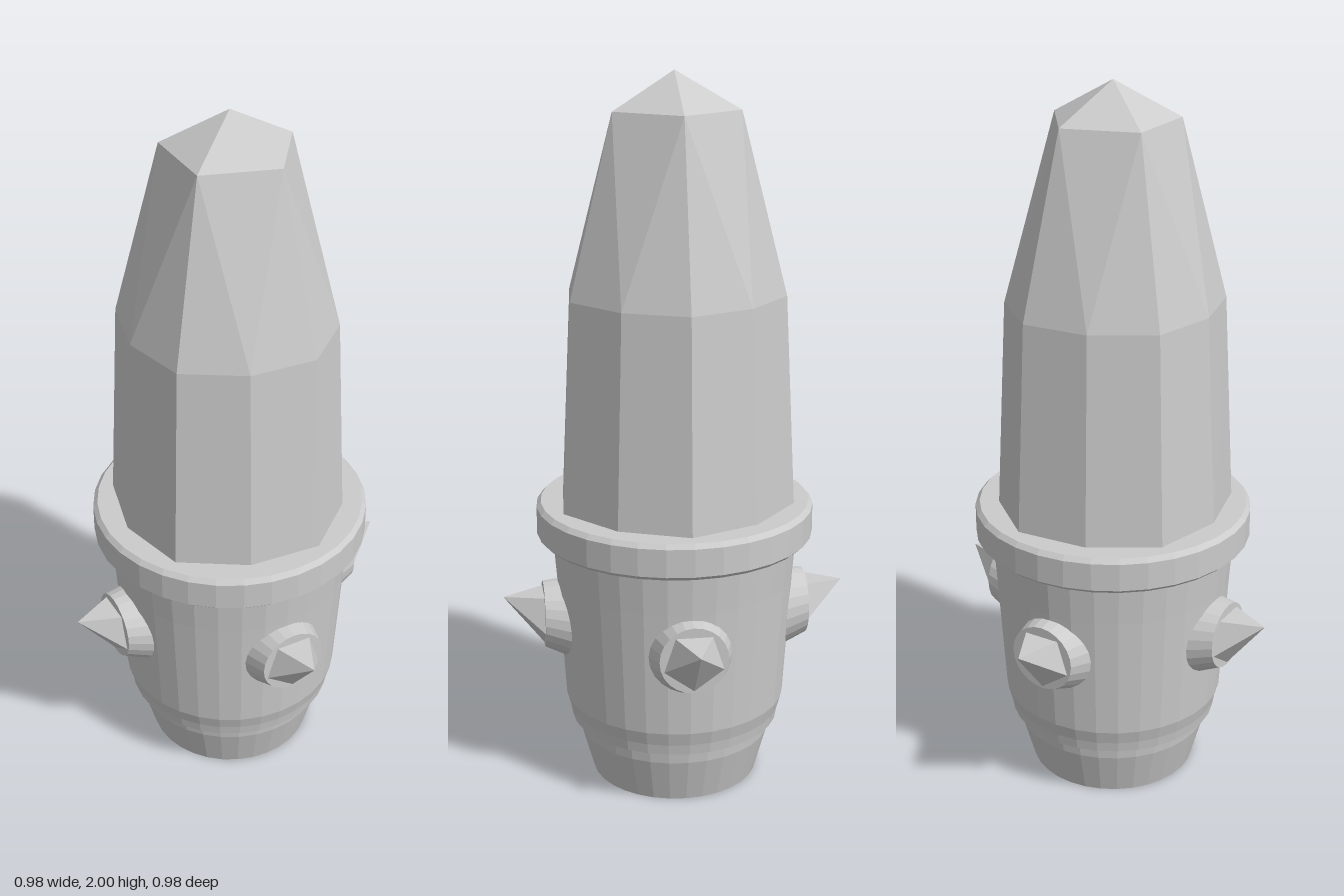
import * as THREE from 'three';

const material = new THREE.MeshStandardMaterial({ color: 0xcccccc, flatShading: true });

function addMesh(parent, name, geometry) {
  geometry.computeVertexNormals();
  const mesh = new THREE.Mesh(geometry, material);
  mesh.name = name;
  parent.add(mesh);
  return mesh;
}

function lathe(points, sides) {
  return new THREE.LatheGeometry(points.map(([r, y]) => new THREE.Vector2(r, y)), sides);
}

// Lift a z-aligned geometry upward in proportion to its distance past z0
function shearUp(geometry, z0, slope) {
  const p = geometry.attributes.position;
  for (let i = 0; i < p.count; i++) p.setY(i, p.getY(i) + (p.getZ(i) - z0) * slope);
  return geometry;
}

// Ten-sided crystal that narrows to a five-sided crown and a point
function crystalGeometry() {
  const ring = (n, y, even, odd) => Array.from({ length: n }, (_, i) => {
    const a = (i / n) * Math.PI * 2, r = i % 2 ? odd : even;
    return new THREE.Vector3(r * Math.cos(a), y, -r * Math.sin(a));
  });
  const base = ring(10, 0.81, 0.338, 0.322);
  const shoulder = ring(10, 1.41, 0.307, 0.292);
  const crown = ring(5, 1.9, 0.18, 0.18);
  const tip = new THREE.Vector3(0, 2, 0);
  const floor = new THREE.Vector3(0, 0.81, 0);
  const points = [];
  const tri = (...corners) => points.push(...corners);
  for (let i = 0; i < 10; i++) {
    const j = (i + 1) % 10;
    tri(base[i], base[j], shoulder[j], base[i], shoulder[j], shoulder[i]);
    tri(floor, base[j], base[i]);
  }
  for (let k = 0; k < 5; k++) {
    const n = (k + 1) % 5;
    const a = shoulder[2 * k], b = shoulder[2 * k + 1], c = shoulder[2 * n];
    tri(a, b, crown[k], b, crown[n], crown[k], b, c, crown[n], crown[k], crown[n], tip);
  }
  return new THREE.BufferGeometry().setFromPoints(points);
}

export function createModel() {
  const model = new THREE.Group();
  model.name = 'studdedCrystal';

  addMesh(model, 'foot', lathe([[0, 0], [0.237, 0], [0.273, 0.13], [0.278, 0.18], [0, 0.18]], 32));
  addMesh(model, 'cup', lathe(
    [[0, 0.17], [0.297, 0.17], [0.302, 0.2], [0.313, 0.24], [0.335, 0.6], [0.345, 0.73], [0, 0.73]], 32));
  addMesh(model, 'rim', lathe(
    [[0, 0.72], [0.375, 0.72], [0.388, 0.732], [0.388, 0.81], [0.376, 0.823], [0, 0.823]], 32));
  addMesh(model, 'crystal', crystalGeometry());

  // Four studs around the cup, each a tapered boss with an upswept spike
  for (let i = 0; i < 4; i++) {
    const stud = new THREE.Group();
    stud.name = 'stud' + (i + 1);
    const boss = new THREE.CylinderGeometry(0.094, 0.122, 0.095, 24)
      .rotateX(Math.PI / 2).translate(0, 0.488, 0.3275);
    addMesh(stud, 'boss', shearUp(boss, 0.375, 0.18));
    const spike = new THREE.ConeGeometry(0.087, 0.115, 5)
      .rotateX(Math.PI / 2).translate(0, 0.484, 0.4305);
    addMesh(stud, 'spike', shearUp(spike, 0.373, 0.53));
    stud.rotation.y = (i * Math.PI) / 2;
    model.add(stud);
  }
  return model;
}
